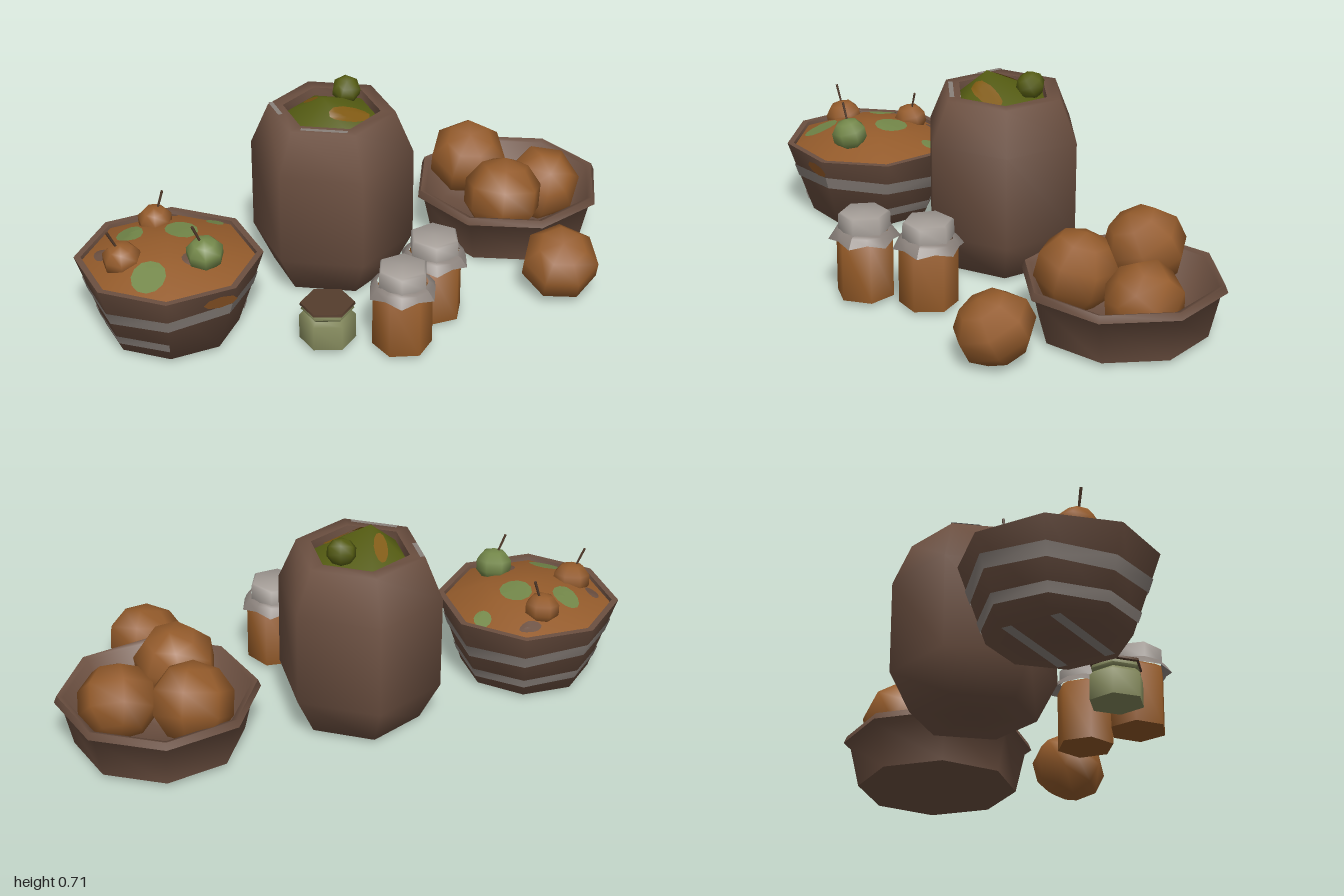
import * as THREE from 'three';
import { toCreasedNormals } from 'three/addons/utils/BufferGeometryUtils.js';

const paint = (name, color, extra = {}) => Object.assign(new THREE.MeshStandardMaterial({ color, ...extra }), { name });

export function createModel() {
  const model = new THREE.Group();
  model.name = 'harvestGoods';
  const both = { side: THREE.DoubleSide };
  const clay = paint('clay brown', 0x6b4f40);
  const grey = paint('stripe and frill grey', 0x8a817b, both);
  const orange = paint('fruit orange', 0x945b2b);
  const honey = paint('honey amber', 0x8f5726, both);
  const gold = paint('apple blush gold', 0x805a12, both);
  const cloth = paint('cloth grey', 0xa39c96);
  const green = paint('apple green', 0x738749, both);
  const olive = paint('olive green', 0x555c12);
  const glass = paint('jar green', 0x81865a);
  const bark = paint('dark bark', 0x553d2d);

  const add = (parent, name, geo, mat, x = 0, y = 0, z = 0) => {
    const m = new THREE.Mesh(geo, mat);
    m.name = name;
    m.position.set(x, y, z);
    parent.add(m);
    return m;
  };
  const group = (name, x, z) => {
    const g = new THREE.Group();
    g.name = name;
    g.position.set(x, 0, z);
    model.add(g);
    return g;
  };
  const lathe = (points, sides, phi) => new THREE.LatheGeometry(points.map(p => new THREE.Vector2(...p)), sides, phi);
  // Turned shape with few sides, rounded around but sharp at square rims
  const turned = (points, sides, phi) => toCreasedNormals(lathe(points, sides, phi), 1.28);

  // Height of a faceted mound (profile runs from edge to centre)
  const moundHeight = (profile, sides, phi, x, z) => {
    let d = 0;
    for (let i = 0; i < sides; i++) {
      const a = phi + (i + 0.5) * 2 * Math.PI / sides;
      d = Math.max(d, (x * Math.sin(a) + z * Math.cos(a)) / Math.cos(Math.PI / sides));
    }
    for (let i = 1; i < profile.length; i++) {
      const [r0, y0] = profile[i - 1], [r1, y1] = profile[i];
      if (d >= r1) return y1 + (y0 - y1) * (d - r1) / (r0 - r1);
    }
    return profile.at(-1)[1];
  };
  // Thin painted patch draped on a mound
  const patch = (parent, mat, profile, sides, phi, [cx, cz, rx, rz]) => {
    const geo = new THREE.RingGeometry(0.001, 1, 12, 3).rotateX(-Math.PI / 2);
    const p = geo.attributes.position;
    for (let i = 0; i < p.count; i++) {
      const x = cx + p.getX(i) * rx, z = cz + p.getZ(i) * rz;
      p.setXYZ(i, x, moundHeight(profile, sides, phi, x, z) + 0.005, z);
    }
    geo.computeVertexNormals();
    add(parent, 'fruitPatch', geo, mat);
  };
  const fruit = (parent, name, mat, r, x, y, z, tilt, squash = 0.95) => {
    const m = add(parent, name, new THREE.SphereGeometry(r, 7, 5), mat, x, y, z);
    m.rotation.set(tilt, tilt * 2.3, tilt * 0.7);
    m.scale.y = squash;
  };
  const stem = (parent, x, y, z, lean) => {
    const m = add(parent, 'stem', new THREE.CylinderGeometry(0.005, 0.004, 0.07, 4), bark, x, y, z);
    m.rotation.z = lean;
  };

  // Striped basket heaped with fruit
  const basket = group('fruitBasket', -0.705, -0.065);
  const turn = Math.PI / 8;
  add(basket, 'basketBody', turned([[0, 0.01], [0.227, 0.01], [0.318, 0.28], [0.295, 0.28], [0.29, 0.26]], 8, turn), clay);
  const heap = [[0.292, 0.267], [0.15, 0.324], [0, 0.342]];
  add(basket, 'fruitHeap', turned(heap, 8, turn), orange);
  for (const spot of [[-0.095, -0.115, 0.045, 0.058], [0.065, -0.045, 0.056, 0.062],
    [-0.125, 0.145, 0.058, 0.062], [0.215, -0.12, 0.03, 0.036]]) patch(basket, green, heap, 8, turn, spot);
  for (const spot of [[-0.215, -0.07, 0.022, 0.035], [0.08, -0.225, 0.04, 0.022], [0.03, 0.13, 0.03, 0.03]])
    patch(basket, clay, heap, 8, turn, spot);
  // Wavering painted bands following the sloped sides
  for (const [y, h, wave, start, length] of [[0.175, 0.046, 0.016, 0, 8], [0.068, 0.034, 0.008, 1, 6]]) {
    const geo = new THREE.CylinderGeometry(1, 1, 1, length, 1, true,
      turn + start * Math.PI / 4, length * Math.PI / 4);
    const p = geo.attributes.position;
    for (let i = 0; i < p.count; i++) {
      const a = Math.atan2(p.getX(i), p.getZ(i));
      const py = y + p.getY(i) * h + wave * Math.sin(2 * a + 0.6);
      const r = 0.227 + (py - 0.01) * 0.337 + 0.004;
      p.setXYZ(i, Math.sin(a) * r, py, Math.cos(a) * r);
    }
    geo.computeVertexNormals();
    add(basket, 'basketStripe', geo, grey);
  }
  // Painted stripes under the floor
  for (const side of [-1, 1]) {
    const geo = new THREE.PlaneGeometry(0.34, 0.035).rotateX(Math.PI / 2).rotateY(-Math.PI / 4);
    add(basket, 'floorStripe', geo, grey, side * 0.06, 0.006, -side * 0.06);
  }
  const spill = add(basket, 'sidePatch', new THREE.CircleGeometry(0.06, 8), honey, 0.07, 0.235, 0.286);
  spill.rotation.x = 0.31;
  spill.scale.y = 0.45;
  // Apples on top
  for (const [mat, r, x, y, z, lean] of [[orange, 0.062, 0.015, 0.322, -0.165, -0.3],
    [orange, 0.068, -0.17, 0.316, 0.015, 0.45], [green, 0.066, 0.075, 0.345, 0.145, 0.4]]) {
    fruit(basket, 'apple', mat, r, x, y, z, 0.15, 0.88);
    stem(basket, x - Math.sin(lean) * 0.07, y + r + 0.012, z, lean);
  }

  // Tall six-sided barrel
  const barrel = group('barrel', -0.045, -0.182);
  add(barrel, 'barrelBody', turned([[0, 0.01], [0.215, 0.01], [0.286, 0.15], [0.286, 0.48],
    [0.222, 0.63], [0.17, 0.63], [0.165, 0.58]], 6, -0.06), clay);
  // Painted marks on the rim: length, width, position and turn
  for (const [l, w, x, z, phi] of [[0.1, 0.016, -0.178, -0.075, -1.63], [0.16, 0.016, -0.097, 0.149, -0.58]]) {
    const geo = new THREE.PlaneGeometry(l, w).rotateX(-Math.PI / 2).rotateY(phi);
    add(barrel, 'rimMark', geo, grey, x, 0.634, z);
  }
  // Apple pile, its peak leaning left and forward
  const pile = group('barrelApples', 0.255, -0.392);
  const pileProfile = [[0.166, 0.6], [0, 0.694]];
  add(pile, 'applePile', turned(pileProfile, 6, -0.06), olive);
  for (const spot of [[0.045, 0.075, 0.07, 0.034], [-0.03, -0.07, 0.028, 0.045]])
    patch(pile, gold, pileProfile, 6, -0.06, spot);
  const lean = new THREE.Matrix4().makeShear(0, 0, -0.5, 0.35, 0, 0);
  for (const part of pile.children) part.geometry.applyMatrix4(lean);
  fruit(barrel, 'barrelApple', olive, 0.052, 0.083, 0.658, -0.058, 0.35, 0.9);

  // Wide bowl with flared lip
  const bowl = group('bowl', 0.652, -0.16);
  add(bowl, 'bowlBody', turned([[0, 0.01], [0.288, 0.01], [0.322, 0.16], [0.346, 0.175], [0.336, 0.2],
    [0.315, 0.192], [0.255, 0.055], [0, 0.045]], 8, -0.14), clay);
  fruit(bowl, 'bowlFruit', orange, 0.145, -0.08, 0.226, -0.158, 0.3);
  fruit(bowl, 'bowlFruit', orange, 0.146, -0.09, 0.21, 0.125, -0.3);
  fruit(bowl, 'bowlFruit', orange, 0.142, 0.132, 0.156, 0.025, 0.5, 0.92);
  fruit(model, 'looseFruit', orange, 0.14, 0.594, 0.117, 0.322, 0.3, 0.85);

  // Cloth-covered preserve jars
  for (const [x, z, phi, bodyPhi] of [[0.132, 0.256, 0.65, 0.45], [-0.055, 0.389, 0.55, 0.15]]) {
    const jar = group('preserveJar', x, z);
    add(jar, 'jarBody', turned([[0, 0.012], [0.101, 0.012], [0.101, 0.225], [0.08, 0.24]], 6, bodyPhi), honey);
    // Frill droops at the six corners and is gathered between them
    const frill = lathe([[0.123, 0.216], [0.1, 0.247], [0.086, 0.254]], 12, phi);
    const p = frill.attributes.position;
    for (let i = 3; i < p.count; i += 6) p.setXYZ(i, p.getX(i) * 0.88, p.getY(i) + 0.012, p.getZ(i) * 0.88);
    frill.computeVertexNormals();
    add(jar, 'clothFrill', frill, grey);
    add(jar, 'clothTop', turned([[0.09, 0.248], [0.088, 0.305], [0.081, 0.311], [0, 0.311]], 6, phi), cloth);
  }

  // Small green jar with a dark lid
  const smallJar = group('smallJar', -0.266, 0.25);
  add(smallJar, 'smallJarBody', turned([[0, 0.012], [0.096, 0.012], [0.096, 0.1], [0.08, 0.116],
    [0.09, 0.126], [0.084, 0.14]], 6, 0.1), glass);
  add(smallJar, 'smallJarLid', turned([[0.084, 0.138], [0.094, 0.141], [0.092, 0.15], [0, 0.152]], 6, 0.1), bark);

  return model;
}
